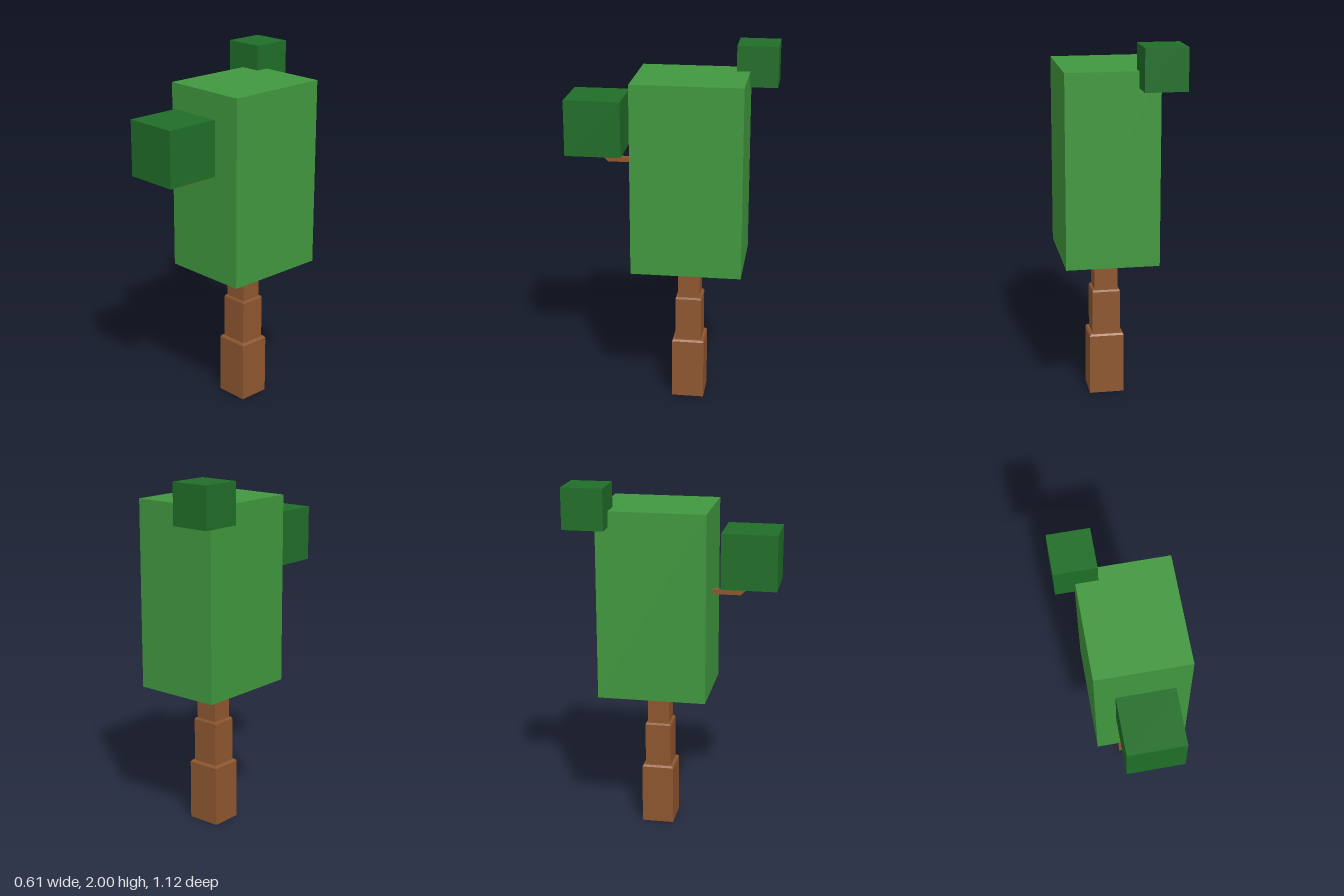
import * as THREE from 'three';

const material = (color) => new THREE.MeshStandardMaterial({ color, flatShading: true });

export function createModel() {
  const tree = new THREE.Group();
  tree.name = 'tree';
  const bark = material(0x8f5730);
  const leaf = material(0x41983f);
  const darkLeaf = material(0x206e28);

  const add = (name, geometry, mat, x = 0, y = 0, z = 0) => {
    const mesh = new THREE.Mesh(geometry, mat);
    mesh.name = name;
    mesh.position.set(x, y, z);
    tree.add(mesh);
    return mesh;
  };

  // Square trunk in three narrowing tiers with small sloped ledges: [half width, height]
  const profile = [
    [0, 0], [0.096, 0], [0.096, 0.34], [0.088, 0.35], [0.078, 0.35],
    [0.078, 0.595], [0.073, 0.605], [0.065, 0.605], [0.065, 1.4], [0, 1.4],
  ].map(([w, y]) => new THREE.Vector2(w * Math.SQRT2, y));
  const trunk = add('trunk', new THREE.LatheGeometry(profile, 4, Math.PI / 4), bark, 0.052, 0, -0.106);
  trunk.scale.z = 0.94;

  // Bent branch reaching forward from the trunk: [z, y]
  const outline = [
    [-0.1, 1.37], [0.348, 1.37], [0.45, 1.463],
    [0.42, 1.463], [0.343, 1.397], [-0.1, 1.397],
  ].map(([z, y]) => new THREE.Vector2(z, y));
  const branch = new THREE.ExtrudeGeometry(new THREE.Shape(outline), { depth: 0.028, bevelEnabled: false });
  branch.rotateY(-Math.PI / 2);
  add('branch', branch, bark, 0.066);

  // Leaf blocks
  add('crown', new THREE.BoxGeometry(0.505, 1.052, 0.602), leaf, 0.052, 1.335, -0.11);
  add('branchLeaves', new THREE.BoxGeometry(0.307, 0.307, 0.307), darkLeaf, 0.053, 1.588, 0.408);
  add('topLeaves', new THREE.BoxGeometry(0.225, 0.225, 0.225), darkLeaf, -0.195, 1.8875, -0.451);

  return tree;
}
